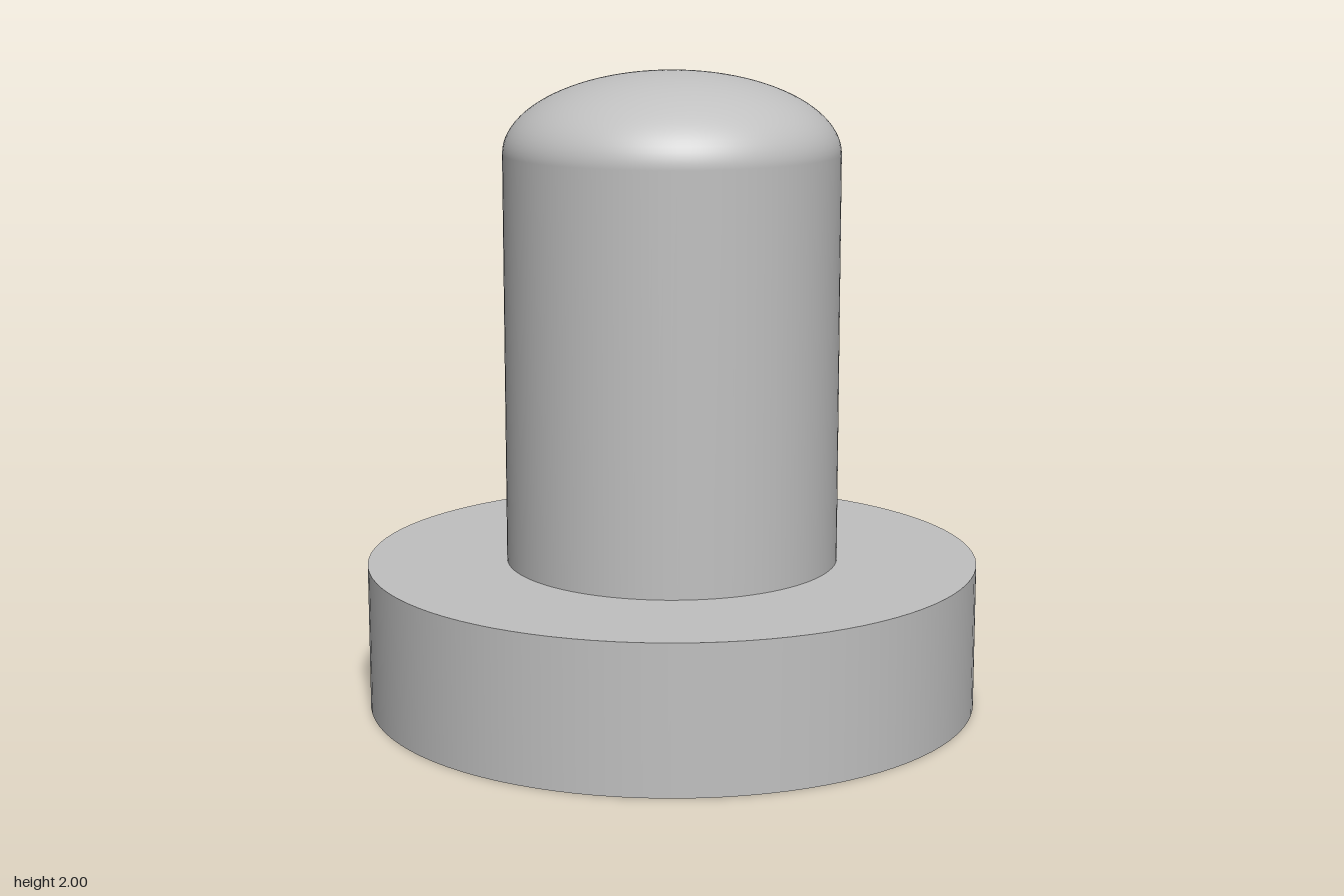
import * as THREE from 'three';

const BASE_RADIUS = 0.965, BASE_TOP = 0.46;
const SHAFT_RADIUS = 0.525, SHAFT_TOP = 1.745, TOTAL_HEIGHT = 2;
const SIDES = 96;

export function createModel() {
  const model = new THREE.Group();
  model.name = 'domedPin';
  const grey = new THREE.MeshStandardMaterial({ color: 0xc0c0c0 });
  grey.name = 'plainGrey';

  const add = (name, geometry, y) => {
    const mesh = new THREE.Mesh(geometry, grey);
    mesh.name = name;
    mesh.position.y = y;
    model.add(mesh);
  };

  // Wide round foot
  add('base', new THREE.CylinderGeometry(BASE_RADIUS, BASE_RADIUS, BASE_TOP, SIDES), BASE_TOP / 2);

  // Straight shaft, open where it meets the base and the dome
  const shaftHeight = SHAFT_TOP - BASE_TOP;
  add('shaft', new THREE.CylinderGeometry(SHAFT_RADIUS, SHAFT_RADIUS, shaftHeight, SIDES, 1, true),
    BASE_TOP + shaftHeight / 2);

  // Flattened half-sphere cap
  const dome = new THREE.SphereGeometry(1, SIDES, 24, 0, Math.PI * 2, 0, Math.PI / 2);
  dome.scale(SHAFT_RADIUS, TOTAL_HEIGHT - SHAFT_TOP, SHAFT_RADIUS);
  add('dome', dome, SHAFT_TOP);

  return model;
}
